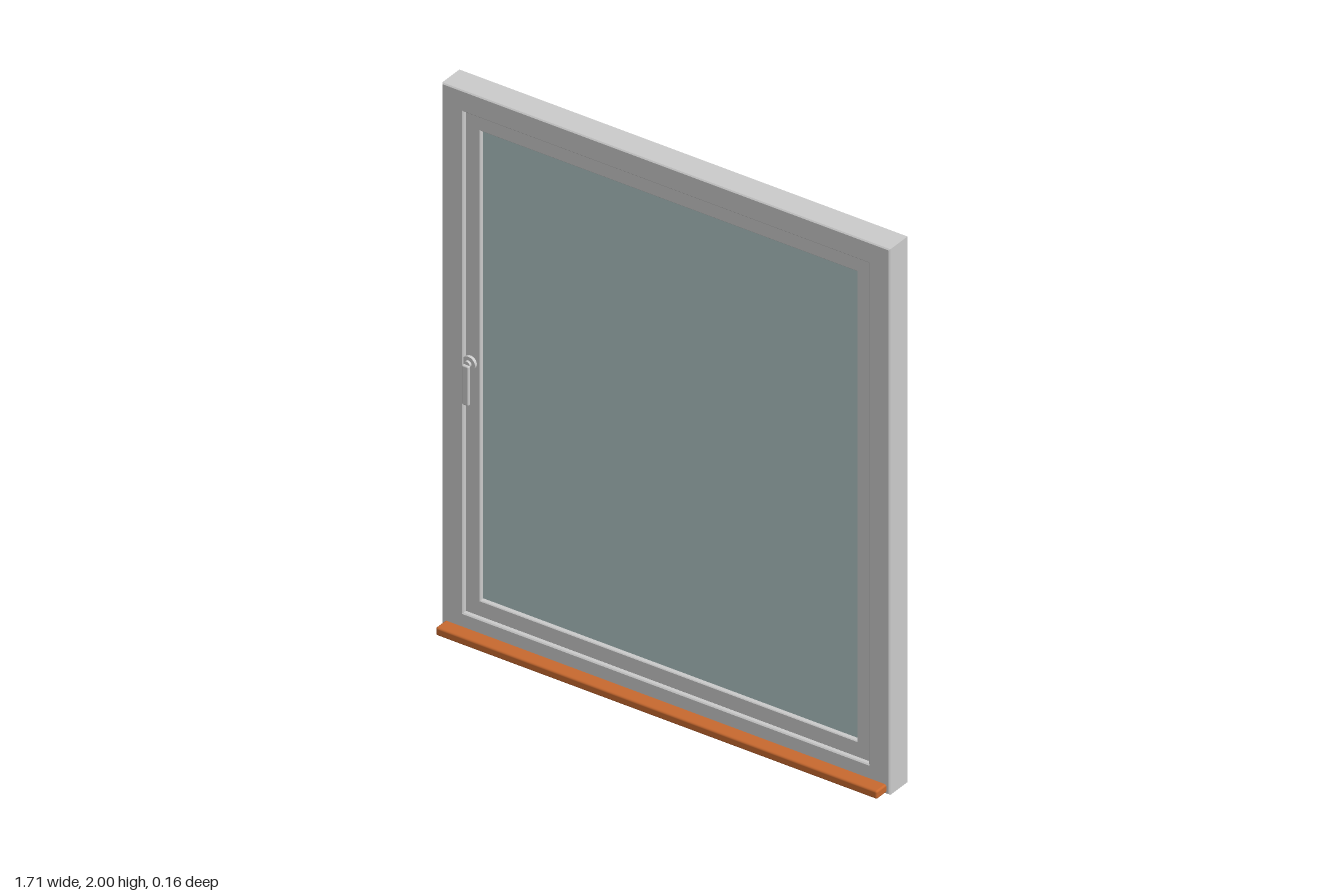
import * as THREE from 'three';
import { RoundedBoxGeometry } from 'three/addons/geometries/RoundedBoxGeometry.js';

const grey = new THREE.MeshStandardMaterial({ color: 0xcccccc });
const orange = new THREE.MeshStandardMaterial({ color: 0xc8692f });
const glass = new THREE.MeshStandardMaterial({ color: 0xb0c6c6 });

function add(parent, name, geometry, material, x = 0, y = 0, z = 0) {
  const mesh = new THREE.Mesh(geometry, material);
  mesh.name = name;
  mesh.position.set(x, y, z);
  parent.add(mesh);
  return mesh;
}

// Corners of a rectangle, symmetric in x
const corners = (hw, y0, y1) => [[-hw, y0], [hw, y0], [hw, y1], [-hw, y1]].map(p => new THREE.Vector2(...p));

// Rectangular ring with small chamfers, between depths z0 and z1
function ring(outer, inner, z0, z1, bevel) {
  const shape = new THREE.Shape(corners(...outer));
  shape.holes.push(new THREE.Path(corners(...inner).reverse()));
  const geometry = new THREE.ExtrudeGeometry(shape, {
    depth: z1 - z0 - 2 * bevel,
    bevelThickness: bevel, bevelSize: bevel, bevelOffset: -bevel, bevelSegments: 1,
  });
  return geometry.translate(0, 0, z0 + bevel);
}

export function createModel() {
  const model = new THREE.Group();
  model.name = 'window';

  // Fixed outer frame and the recessed opening sash
  add(model, 'outerFrame', ring([0.853, 0, 2], [0.772, 0.085, 1.922], -0.07, 0.03, 0.004), grey);
  add(model, 'sash', ring([0.773, 0.084, 1.923], [0.717, 0.143, 1.864], -0.032, 0.015, 0.003), grey);

  // Glass pane, let into the sash
  add(model, 'glassPane', new THREE.BoxGeometry(1.45, 1.74, 0.012), glass, 0, 1.0035, -0.008);

  // Sill running through beneath the frame, showing at front and back
  add(model, 'sill', new RoundedBoxGeometry(1.68, 0.03, 0.162, 3, 0.007), orange, 0, 0.02, 0);

  // Handle: round rosette, neck and hanging lever
  const handle = new THREE.Group();
  handle.name = 'handle';
  handle.position.set(-0.754, 1.004, 0);
  model.add(handle);
  const disc = (r, z0, z1) =>
    new THREE.CylinderGeometry(r, r, z1 - z0, 32).rotateX(Math.PI / 2).translate(0, 0, (z0 + z1) / 2);
  add(handle, 'rosette', disc(0.025, 0.012, 0.026), grey);
  add(handle, 'neck', disc(0.012, 0.02, 0.036), grey);
  add(handle, 'lever', new RoundedBoxGeometry(0.026, 0.145, 0.014, 3, 0.005), grey, 0, -0.072, 0.038);

  return model;
}
